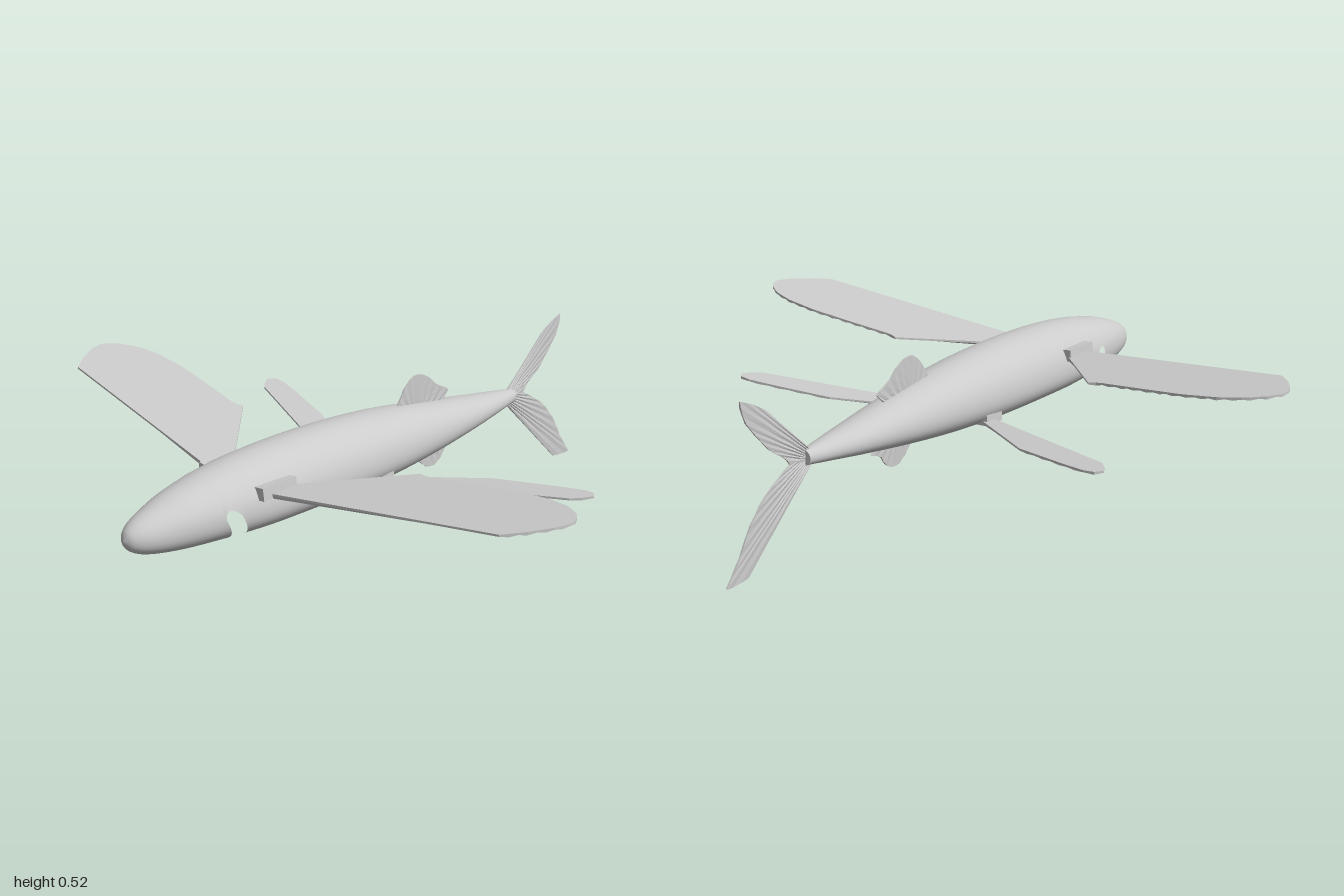
import * as THREE from 'three';
import { mergeVertices } from 'three/addons/utils/BufferGeometryUtils.js';

const grey = new THREE.MeshStandardMaterial({ color: 0xcccccc });
const finGrey = new THREE.MeshStandardMaterial({ color: 0xcccccc, side: THREE.DoubleSide, flatShading: true });

function add(parent, name, geometry, material = grey) {
  const mesh = new THREE.Mesh(geometry, material);
  mesh.name = name;
  parent.add(mesh);
  return mesh;
}

// Body stations: x, top, bottom, half width
const MID = 0.295;
const STATIONS = [
  [-0.96, MID, MID, 0], [-0.945, 0.325, 0.265, 0.03], [-0.9, 0.352, 0.243, 0.058],
  [-0.8, 0.386, 0.224, 0.093], [-0.7, 0.408, 0.215, 0.114], [-0.648, 0.416, 0.212, 0.121],
  [-0.55, 0.427, 0.209, 0.129], [-0.4, 0.433, 0.207, 0.134], [-0.2, 0.43, 0.205, 0.133],
  [0, 0.415, 0.209, 0.123], [0.2, 0.387, 0.223, 0.102], [0.4, 0.354, 0.245, 0.073],
  [0.55, 0.331, 0.264, 0.044], [0.635, 0.318, 0.274, 0.023],
];
const SLOT = 4; // the span between stations that holds the gill slot

// Hollow body with a slanted, round-topped gill slot running under the belly
function bodyGeometry() {
  const [top, bottom, width] = [1, 2, 3].map(
    (k) => new THREE.SplineCurve(STATIONS.map((s) => new THREE.Vector2(s[0], s[k]))));
  const spans = STATIONS.length - 1, sub = 8, upper = 10, half = 24, cols = half * 2 + 1;
  const pos = [], index = [];
  for (let i = 0; i <= spans * sub; i++) {
    const t = i / (spans * sub);
    const { x, y: yTop } = top.getPoint(t);
    const yBot = bottom.getPoint(t).y, w = Math.max(0, width.getPoint(t).y);
    const q = THREE.MathUtils.clamp((i / sub - SLOT) * 2 - 1, -1, 1);
    const cut = 1.45 - 0.2 * Math.sqrt(1 - q * q);
    const away = Math.max(STATIONS[SLOT][0] - x, x - STATIONS[SLOT + 1][0], 0);
    const slant = 0.47 * (1 - THREE.MathUtils.smoothstep(away, 0, 0.2));
    for (let j = -half; j <= half; j++) {
      const n = Math.abs(j);
      const a = n <= upper ? cut * n / upper : cut + (Math.PI - cut) * (n - upper) / (half - upper);
      const c = Math.cos(a), s = Math.max(0, Math.sin(a));
      const y = c > 0 ? MID + (yTop - MID) * c : MID - (MID - yBot) * Math.pow(-c, 0.9);
      const z = Math.sign(j) * w * (n === half ? 0 : s);
      const fade = Math.min(1, w / 0.1);
      pos.push(x + slant * fade * Math.max(0, 0.33 - y), y, z);
      if (i === spans * sub || j === half) continue;
      const inSlot = i >= SLOT * sub && i < (SLOT + 1) * sub;
      if (inSlot && (j >= upper || j < -upper)) continue;
      const p = i * cols + j + half;
      index.push(p, p + 1, p + cols, p + 1, p + cols + 1, p + cols);
    }
  }
  let g = new THREE.BufferGeometry();
  g.setAttribute('position', new THREE.Float32BufferAttribute(pos, 3));
  g.setIndex(index);
  g = mergeVertices(g, 1e-5);
  g.computeVertexNormals();
  return g;
}

// Ribbed fin: rays fan from the root line to the rim; place(u, v, d) puts a
// point of the fin plane, raised by d, into space
function finGeometry(root, rim, rays, place, upDepth, downDepth, thin = 0.003) {
  const line = (pts, n) => new THREE.Path(pts.map((p) => new THREE.Vector2(...p))).getSpacedPoints(n);
  const inner = line(root, rays), outer = line(rim, rays), steps = 3;
  const pos = [], index = [], row = (steps + 1) * 2;
  for (let i = 0; i <= rays; i++) {
    for (let k = 0; k <= steps; k++) {
      const p = inner[i].clone().lerp(outer[i], k / steps);
      const rib = (i % 2) * (1 - 0.6 * k / steps);
      pos.push(...place(p.x, p.y, thin + upDepth * rib), ...place(p.x, p.y, -thin - downDepth * rib));
    }
  }
  const quad = (a, b, c, d) => index.push(a, b, c, a, c, d);
  for (let i = 0; i < rays; i++) {
    const a = i * row, b = a + row, e = steps * 2;
    for (let k = 0; k < e; k += 2) {
      quad(a + k, a + k + 2, b + k + 2, b + k);
      quad(a + k + 1, b + k + 1, b + k + 3, a + k + 3);
    }
    quad(a, b, b + 1, a + 1);
    quad(a + e, a + e + 1, b + e + 1, b + e);
  }
  for (let k = 0; k < steps * 2; k += 2) {
    quad(k, k + 1, k + 3, k + 2);
    const l = rays * row + k;
    quad(l, l + 2, l + 3, l + 1);
  }
  const g = new THREE.BufferGeometry();
  g.setAttribute('position', new THREE.Float32BufferAttribute(pos, 3));
  g.setIndex(index);
  g.computeVertexNormals();
  return g;
}

export function createModel() {
  const model = new THREE.Group();
  model.name = 'flyingFish';

  add(model, 'body', bodyGeometry());
  const end = add(model, 'tailCap', new THREE.CircleGeometry(0.023, 32));
  end.rotation.y = Math.PI / 2;
  end.position.set(0.635, 0.296, 0);

  // Paired fins with their sockets; u is x, v is the distance from the middle
  for (const [side, s] of [['front', 1], ['back', -1]]) {
    const wing = (u, v, d) => [u, 0.348 + 0.122 * (v - 0.13) + d, s * v];
    add(model, side + 'Wing', finGeometry(
      [[-0.55, 0.11], [-0.475, 0.11]],
      [[-0.45, 0.89], [-0.4, 0.935], [-0.33, 0.98], [-0.28, 0.995], [-0.235, 0.97], [-0.195, 0.91],
        [-0.175, 0.83], [-0.172, 0.72], [-0.19, 0.56], [-0.21, 0.41], [-0.2, 0.38]],
      36, wing, 0, 0.009), finGrey);
    const socket = add(model, side + 'WingSocket', new THREE.BoxGeometry(0.125, 0.038, 0.05));
    socket.position.set(-0.515, 0.354, s * 0.115);
    socket.rotation.x = -s * 0.12;

    const pelvic = (u, v, d) => [u, 0.24 + 0.083 * (v - 0.12) + d, s * v];
    add(model, side + 'PelvicFin', finGeometry(
      [[-0.09, 0.09], [-0.05, 0.09]],
      [[0.13, 0.655], [0.16, 0.685], [0.195, 0.705], [0.215, 0.67], [0.19, 0.57], [0.16, 0.47], [0.13, 0.37]],
      12, pelvic, 0, 0.006), finGrey);
    const foot = add(model, side + 'PelvicSocket', new THREE.BoxGeometry(0.075, 0.034, 0.055));
    foot.position.set(-0.078, 0.244, s * 0.094);
    foot.rotation.x = -s * 0.08;
  }

  // Upright fins on the centre line
  const upright = (u, v, d) => [u, v, d];
  const fins = {
    dorsalFin: [[[0.13, 0.37], [0.27, 0.35]],
      [[0.095, 0.4], [0.13, 0.455], [0.165, 0.483], [0.2, 0.483], [0.24, 0.46], [0.27, 0.43], [0.33, 0.4], [0.3, 0.37]], 18],
    analFin: [[[0.2, 0.25], [0.3, 0.26]],
      [[0.17, 0.222], [0.2, 0.185], [0.235, 0.158], [0.27, 0.158], [0.3, 0.18], [0.315, 0.208], [0.36, 0.222], [0.33, 0.238]], 16],
    upperTailFin: [[[0.6, 0.305], [0.63, 0.285]],
      [[0.78, 0.475], [0.83, 0.505], [0.88, 0.525], [0.86, 0.46], [0.82, 0.41], [0.77, 0.355], [0.71, 0.315], [0.69, 0.285]], 16],
    lowerTailFin: [[[0.63, 0.305], [0.6, 0.28]],
      [[0.69, 0.295], [0.73, 0.272], [0.8, 0.225], [0.86, 0.155], [0.9, 0.08], [0.955, 0.003], [0.87, 0.012]], 16],
  };
  for (const [name, [root, rim, rays]] of Object.entries(fins)) {
    add(model, name, finGeometry(root, rim, rays, upright, 0.003, 0.003, 0.002), finGrey);
  }
  return model;
}
